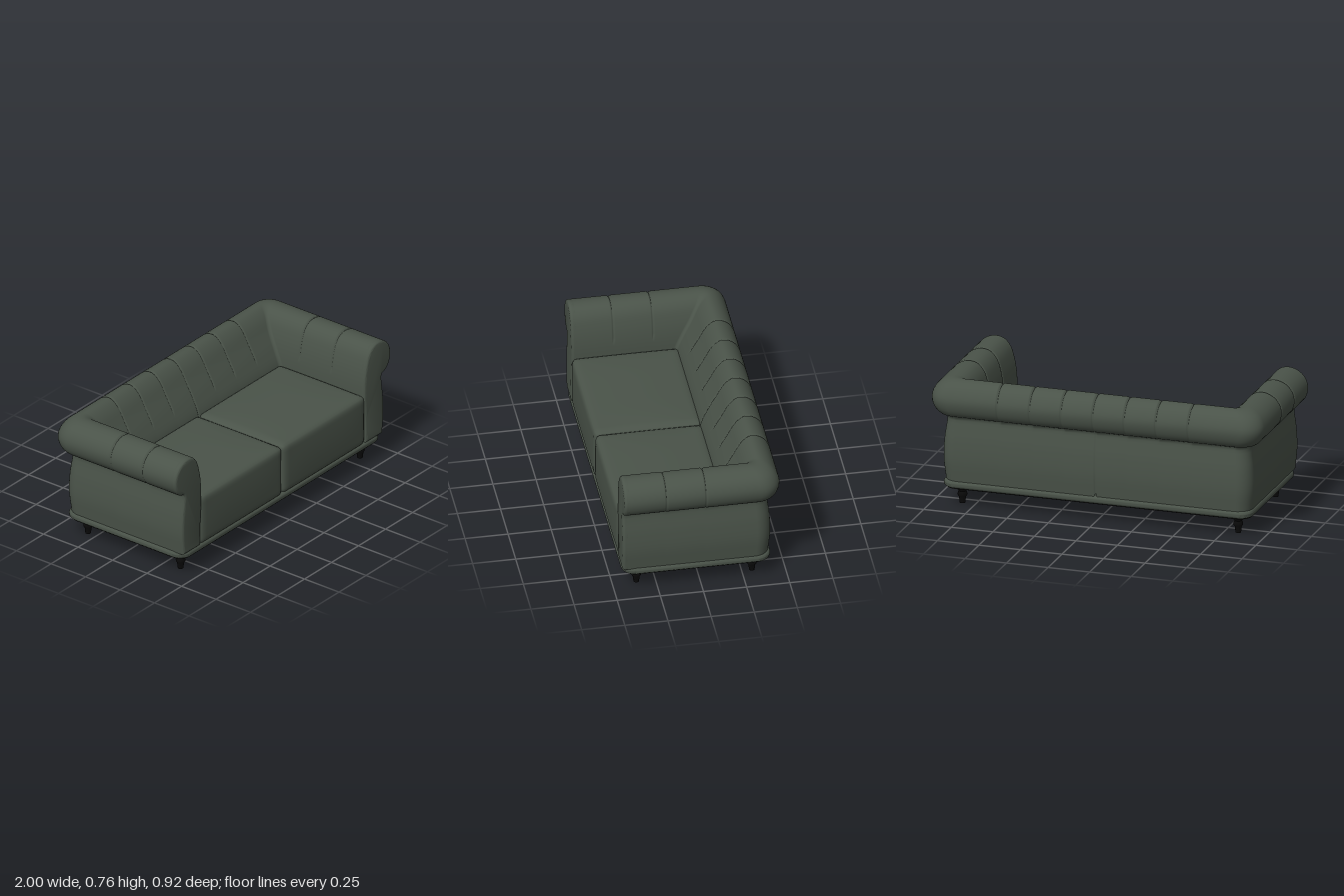
import * as THREE from 'three';
import { mergeVertices, toCreasedNormals } from 'three/addons/utils/BufferGeometryUtils.js';

const leather = new THREE.MeshStandardMaterial({ color: 0x4a5349 });
leather.name = 'green leather';
const black = new THREE.MeshStandardMaterial({ color: 0x090909 });
black.name = 'black wood';

// Shared cross-section of arms and back: [arm x, height, back z],
// from the inner foot, over the roll, to the outer foot
const PROFILE = new THREE.CatmullRomCurve3([
  [0.765, 0.15, -0.15], [0.76, 0.3, -0.15], [0.752, 0.45, -0.155], [0.755, 0.55, -0.195],
  [0.77, 0.64, -0.245], [0.795, 0.71, -0.285], [0.835, 0.75, -0.325], [0.885, 0.76, -0.36],
  [0.94, 0.743, -0.405], [0.98, 0.705, -0.44], [0.998, 0.65, -0.46], [0.985, 0.59, -0.448],
  [0.95, 0.55, -0.42], [0.915, 0.535, -0.392], [0.915, 0.5, -0.395], [0.928, 0.4, -0.408],
  [0.933, 0.28, -0.412], [0.92, 0.15, -0.4],
].map((p) => new THREE.Vector3(...p))).getSpacedPoints(72);

function addMesh(parent, name, geometry, material) {
  const mesh = new THREE.Mesh(geometry, material);
  mesh.name = name;
  parent.add(mesh);
  return mesh;
}

// Pull the roll and inner face in a little where a seam runs
function pinch(p, amount, whole) {
  if (!amount || (!whole && p.y < 0.54)) return p;
  const k = 1 - amount;
  return new THREE.Vector3(0.87 + (p.x - 0.87) * k, 0.55 + (p.y - 0.55) * k, -0.33 + (p.z + 0.33) * k);
}

// Arms and back as one U-shaped sweep with rounded corners
function frameGeometry() {
  const half = [];
  const seamSteps = [[0.012, 0], [0.004, 0.025], [0, 0.06], [-0.004, 0.025], [-0.012, 0]];
  const arm = (z, amount) => half.push(PROFILE.map((p) => {
    const q = pinch(p, amount);
    return [q.x, q.y, z];
  }));
  const back = (x, amount, whole) => half.push(PROFILE.map((p) => {
    const q = pinch(p, amount, whole);
    return [x, q.y, q.z];
  }));

  arm(0.435, 0);
  for (const z of [0.21, -0.02]) for (const [d, a] of seamSteps) arm(z + d, a);
  for (let s = 0; s <= 8; s++) {
    const t = (s / 8) * Math.PI / 2;
    half.push(PROFILE.map((p) => {
      const r = 0.02 + 0.1 * THREE.MathUtils.clamp((p.x - 0.8) / 0.2, 0, 1);
      return [p.x - r + r * Math.cos(t), p.y, p.z + r - r * Math.sin(t)];
    }));
  }
  for (const x of [0.575, 0.38, 0.19]) for (const [d, a] of seamSteps) back(x + d, a);
  back(0.012, 0);
  back(0.004, 0.025, true);

  // Centre seam, then the mirrored half
  const mirrored = half.map((ring) => ring.map(([x, y, z]) => [-x, y, z])).reverse();
  back(0, 0.06, true);
  const rings = [...half, ...mirrored];
  const n = PROFILE.length;
  const index = [];
  for (let j = 0; j < rings.length - 1; j++) {
    for (let i = 0; i < n - 1; i++) {
      const a = j * n + i, b = a + 1, c = a + n, d = c + 1;
      index.push(a, b, c, b, d, c);
    }
  }
  const geometry = new THREE.BufferGeometry();
  geometry.setAttribute('position', new THREE.Float32BufferAttribute(rings.flat(2), 3));
  geometry.setIndex(index);
  geometry.computeVertexNormals();
  return geometry;
}

// Padded panel closing the front of an arm
function armPanelGeometry(side) {
  const shape = new THREE.Shape(PROFILE.map((p) => new THREE.Vector2(side * p.x, p.y)));
  const geometry = new THREE.ExtrudeGeometry(shape, {
    depth: 0.015, bevelThickness: 0.016, bevelSize: 0.016, bevelOffset: -0.016, bevelSegments: 5,
  });
  geometry.translate(0, 0, 0.425);
  return toCreasedNormals(geometry, 0.7);
}

// Soft box: rounded edges plus a gentle swell on top and front
function cushionGeometry(w, h, d, r) {
  let geometry = new THREE.BoxGeometry(w, h, d, 28, 20, 28);
  geometry.deleteAttribute('uv');
  geometry.deleteAttribute('normal');
  geometry = mergeVertices(geometry);
  const pos = geometry.attributes.position;
  const v = new THREE.Vector3();
  const core = new THREE.Vector3(w / 2 - r, h / 2 - r, d / 2 - r);
  for (let i = 0; i < pos.count; i++) {
    v.fromBufferAttribute(pos, i);
    const inner = v.clone().clamp(core.clone().negate(), core);
    v.sub(inner).normalize().multiplyScalar(r).add(inner);
    const u = 1 - (2 * v.x / w) ** 4;
    if (v.y > 0) v.y += 0.016 * u * (1 - (2 * v.z / d) ** 2) * (2 * v.y / h);
    if (v.z > 0) v.z += 0.008 * u * (1 - (2 * v.y / h) ** 2) * (2 * v.z / d);
    pos.setXYZ(i, v.x, v.y, v.z);
  }
  geometry.computeVertexNormals();
  return geometry;
}

// Rounded rectangle lying flat, centred under the sofa
function slabGeometry(w, d, r, depth, bevel) {
  const x = w / 2, y = d / 2;
  const shape = new THREE.Shape();
  shape.absarc(x - r, y - r, r, 0, Math.PI / 2);
  shape.absarc(-x + r, y - r, r, Math.PI / 2, Math.PI);
  shape.absarc(-x + r, -y + r, r, Math.PI, Math.PI * 1.5);
  shape.absarc(x - r, -y + r, r, Math.PI * 1.5, Math.PI * 2);
  const geometry = new THREE.ExtrudeGeometry(shape, {
    depth, bevelEnabled: bevel > 0, bevelThickness: bevel, bevelSize: bevel,
    bevelOffset: -bevel, bevelSegments: 6, curveSegments: 10,
  });
  geometry.rotateX(-Math.PI / 2);
  return toCreasedNormals(geometry, 0.7);
}

export function createModel() {
  const sofa = new THREE.Group();
  sofa.name = 'sofa';

  addMesh(sofa, 'armsAndBack', frameGeometry(), leather);
  for (const side of [1, -1]) {
    const label = side > 0 ? 'left' : 'right';
    addMesh(sofa, label + 'ArmPanel', armPanelGeometry(side), leather);
    const cushion = addMesh(sofa, label + 'Cushion', cushionGeometry(0.765, 0.315, 0.625, 0.03), leather);
    cushion.position.set(side * 0.3825, 0.3025, 0.142);
  }

  // Base rail and dark underside
  const rail = addMesh(sofa, 'baseRail', slabGeometry(1.86, 0.865, 0.08, 0.006, 0.02), leather);
  rail.position.set(0, 0.13, 0.022);
  const underside = addMesh(sofa, 'underside', slabGeometry(1.83, 0.835, 0.07, 0.006, 0), black);
  underside.position.set(0, 0.107, 0.022);

  // Turned legs
  const legProfile = [
    [0, 0], [0.016, 0], [0.02, 0.036], [0.027, 0.046], [0.028, 0.056], [0.025, 0.066],
    [0.022, 0.072], [0.029, 0.082], [0.032, 0.092], [0.032, 0.112],
  ].map((p) => new THREE.Vector2(...p));
  const legGeometry = toCreasedNormals(new THREE.LatheGeometry(legProfile, 20), 0.7);
  for (const x of [0.83, -0.83]) {
    for (const z of [0.36, -0.31]) {
      const name = (z > 0 ? 'front' : 'back') + (x > 0 ? 'Left' : 'Right') + 'Leg';
      addMesh(sofa, name, legGeometry, black).position.set(x, 0, z);
    }
  }
  return sofa;
}
